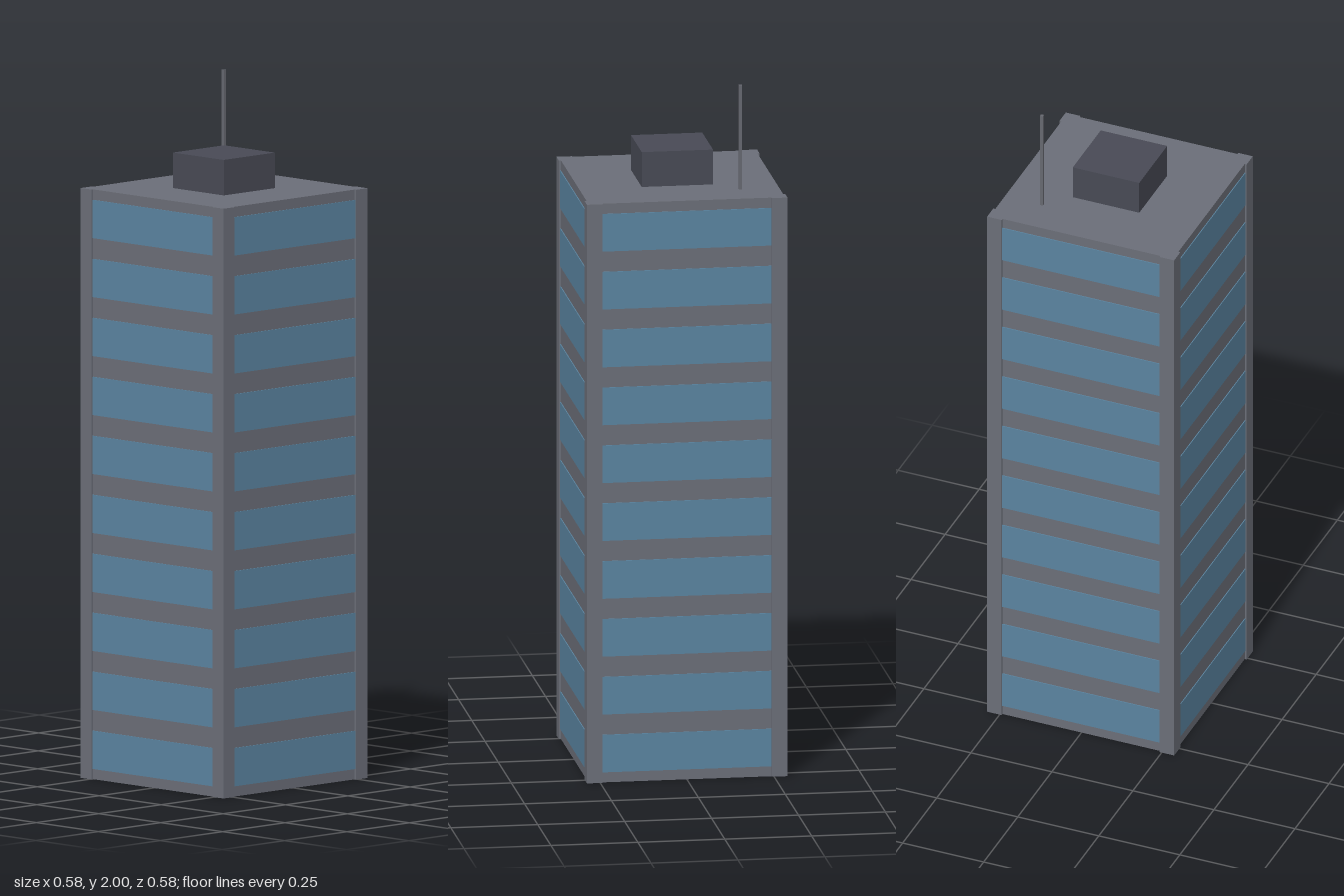
import * as THREE from 'three';

export function createModel() {
  const tower = new THREE.Group();
  tower.name = 'officeTower';

  const concrete = new THREE.MeshStandardMaterial({ color: 0x6b6e78 });
  const glass = new THREE.MeshStandardMaterial({ color: 0x5a84a0 });
  const dark = new THREE.MeshStandardMaterial({ color: 0x484a55 });
  const metal = new THREE.MeshStandardMaterial({ color: 0x666870 });

  const H = 1.695, floors = 10, pitch = H / floors;

  // Box given by its size and the position of its base centre
  function box(name, parent, material, w, h, d, x, y, z) {
    const mesh = new THREE.Mesh(new THREE.BoxGeometry(w, h, d), material);
    mesh.name = name;
    mesh.position.set(x, y + h / 2, z);
    parent.add(mesh);
    return mesh;
  }

  // Main block
  box('body', tower, concrete, 0.565, H, 0.565, 0, 0, 0);

  // Corner pillars, slightly proud of the walls
  for (const sx of [-1, 1]) {
    for (const sz of [-1, 1]) {
      box('cornerPillar', tower, concrete, 0.045, H, 0.045, sx * 0.266, 0, sz * 0.266);
    }
  }

  // One window band per floor on each of the four sides
  for (let side = 0; side < 4; side++) {
    const facade = new THREE.Group();
    facade.name = 'windowSide';
    facade.rotation.y = side * Math.PI / 2;
    for (let i = 0; i < floors; i++) {
      box('windowBand', facade, glass, 0.487, 0.11, 0.006, 0, (i + 0.5) * pitch - 0.055, 0.282);
    }
    tower.add(facade);
  }

  // Roof plant room and antenna
  box('roofPlantRoom', tower, dark, 0.205, 0.102, 0.205, 0, H, 0);
  box('antenna', tower, metal, 0.009, 2 - H, 0.009, 0.169, H, -0.171);

  return tower;
}
